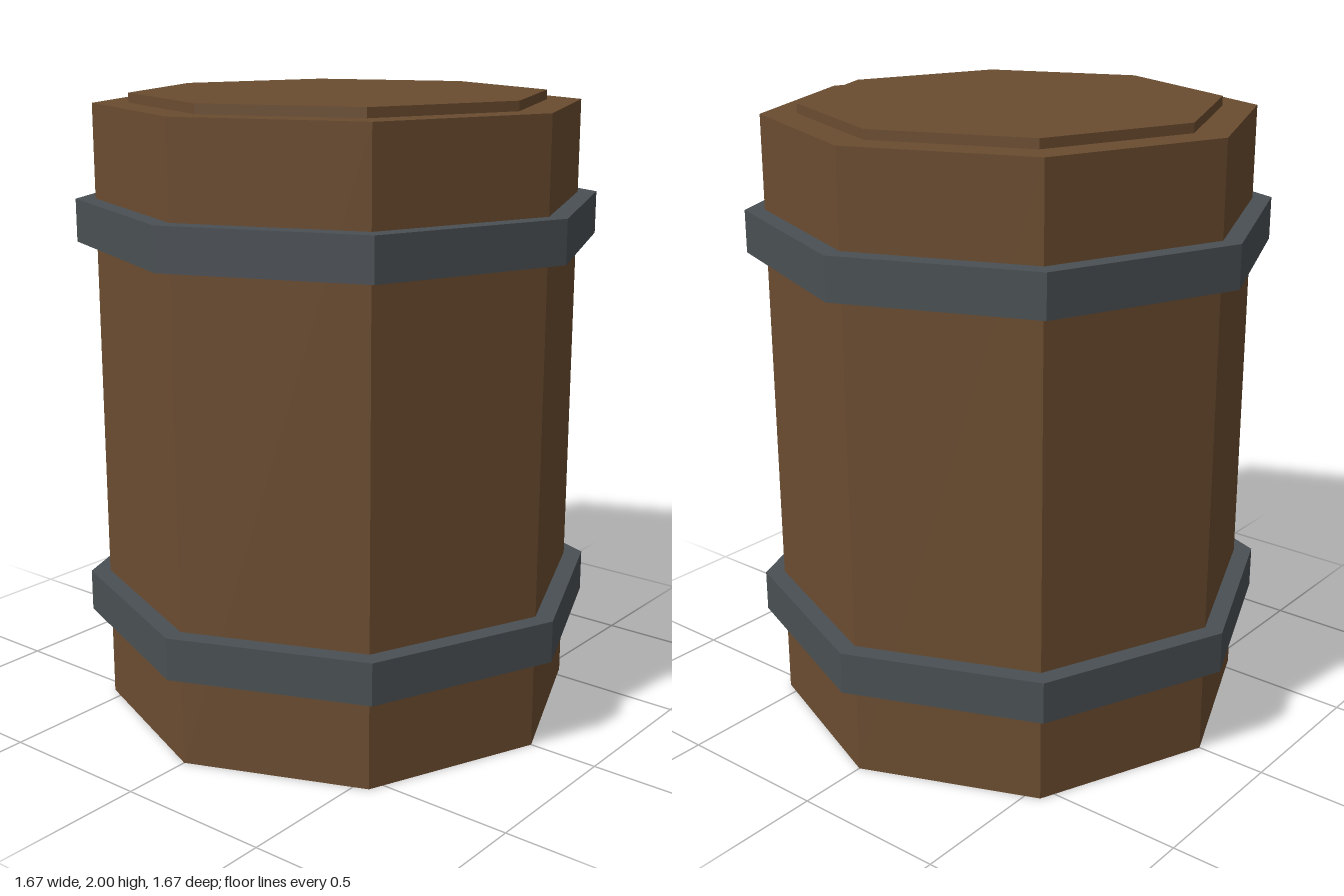
import * as THREE from 'three';

const SIDES = 8;

export function createModel() {
  const wood = new THREE.MeshStandardMaterial({ color: 0x6b4c30 });
  wood.name = 'brown wood';
  const iron = new THREE.MeshStandardMaterial({ color: 0x4a5054 });
  iron.name = 'dark iron';
  wood.flatShading = iron.flatShading = true;

  const barrel = new THREE.Group();
  barrel.name = 'barrel';

  // Upright octagonal prism with corners on the x and z axes
  function addPrism(name, radius, bottom, top, material) {
    const geometry = new THREE.CylinderGeometry(radius, radius, top - bottom, SIDES);
    const mesh = new THREE.Mesh(geometry, material);
    mesh.name = name;
    mesh.position.y = (bottom + top) / 2;
    barrel.add(mesh);
  }

  // Wooden body and the slightly raised lid
  addPrism('body', 0.772, 0, 1.97, wood);
  addPrism('lid', 0.66, 1.95, 2, wood);

  // Iron hoops
  addPrism('lowerHoop', 0.834, 0.3, 0.435, iron);
  addPrism('upperHoop', 0.834, 1.54, 1.675, iron);

  return barrel;
}
